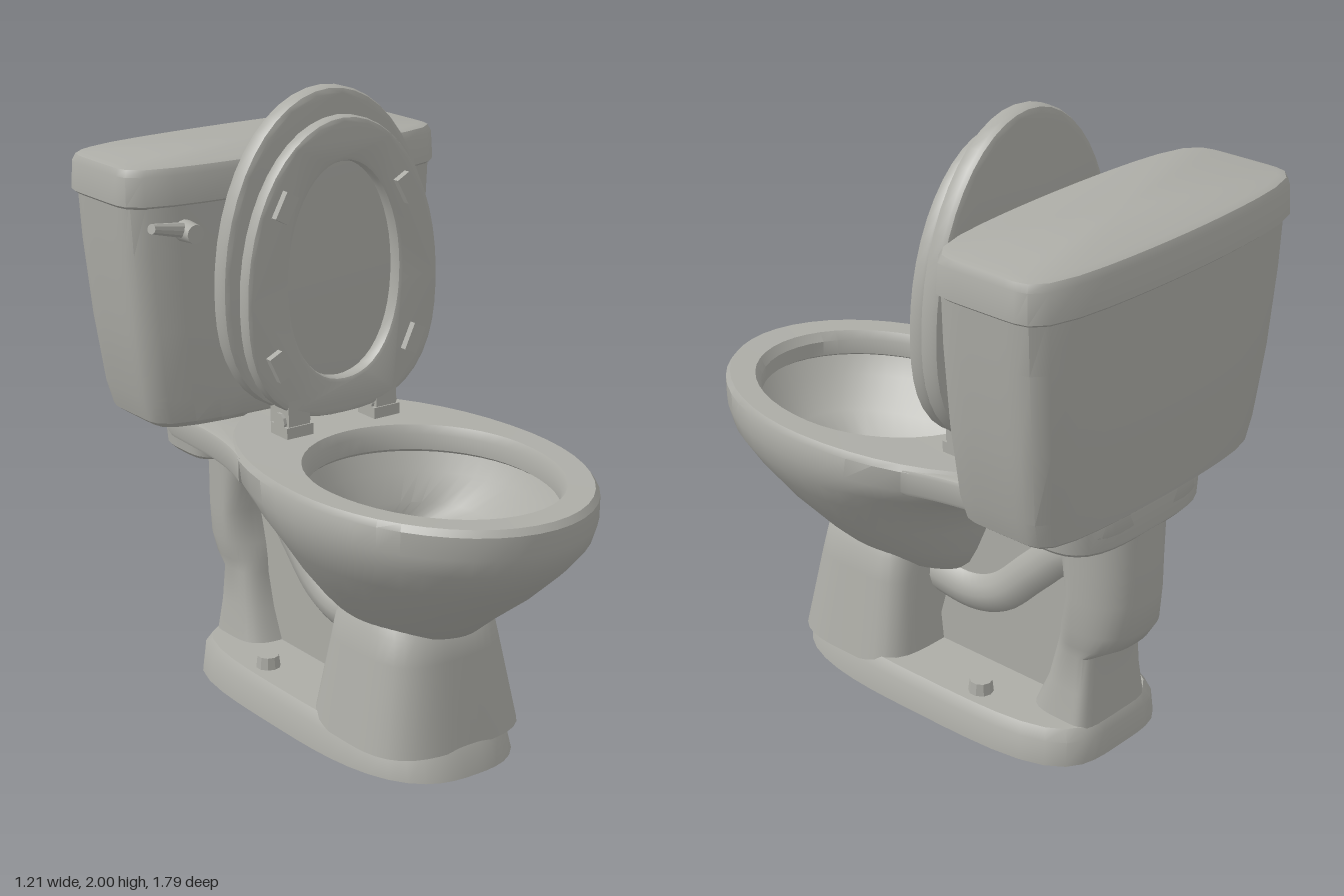
import * as THREE from 'three';
import { toCreasedNormals } from 'three/addons/utils/BufferGeometryUtils.js';

const SEG = 48;
const porcelain = new THREE.MeshStandardMaterial({ color: 0xacaca6 });
porcelain.name = 'grey porcelain';

// Rounded outline: half width w, front f, back b, widest at c.
// n / nb square off the front / back half, bow curves the long sides.
function outline({ w, f, b, c, n = 2, nb = n, bow = 0, x = 0 }) {
  const pts = [];
  for (let j = 0; j < SEG; j++) {
    const t = (j / SEG) * Math.PI * 2;
    const s = Math.sin(t), k = Math.cos(t), e = k >= 0 ? n : nb;
    const r = 1 / Math.pow(Math.abs(s) ** e + Math.abs(k) ** e, 1 / e);
    const u = r * s, v = r * k * (1 - bow * u * u);
    pts.push(new THREE.Vector2(x + w * u, c + v * (v >= 0 ? f - c : c - b)));
  }
  return pts;
}

// Skin a stack of horizontal outlines and close both ends.
function loft(rings) {
  const pos = [], idx = [];
  rings.forEach((r) => outline(r).forEach((p) => pos.push(p.x, r.y, p.y)));
  for (let i = 0; i < rings.length - 1; i++) {
    for (let j = 0; j < SEG; j++) {
      const k = (j + 1) % SEG, a = i * SEG + j, b = i * SEG + k;
      idx.push(a, b, b + SEG, a, b + SEG, a + SEG);
    }
  }
  const last = rings.length - 1, n = rings.length * SEG;
  for (const r of [rings[0], rings[last]]) pos.push(r.x || 0, r.y, r.c);
  for (let j = 0; j < SEG; j++) {
    const k = (j + 1) % SEG;
    idx.push(n, k, j, n + 1, last * SEG + j, last * SEG + k);
  }
  const g = new THREE.BufferGeometry();
  g.setAttribute('position', new THREE.Float32BufferAttribute(pos, 3));
  g.setIndex(idx);
  return g;
}

function extrude(shape, depth, bevel) {
  return new THREE.ExtrudeGeometry(shape, {
    depth: depth - 2 * bevel, bevelEnabled: bevel > 0, bevelThickness: bevel,
    bevelSize: bevel, bevelOffset: -bevel, bevelSegments: 2, curveSegments: 12,
  }).translate(0, 0, bevel);
}

export function createModel() {
  const model = new THREE.Group();
  const add = (name, geometry, parent = model) => {
    const m = new THREE.Mesh(toCreasedNormals(geometry, 0.6), porcelain);
    m.name = name;
    parent.add(m);
    return m;
  };
  const X = -0.03; // bowl and foot sit slightly off the tank's centre

  // Foot plate and front pedestal
  add('footPlate', loft([
    { y: 0, w: 0.305, f: 0.55, b: -0.69 },
    { y: 0.08, w: 0.293, f: 0.525, b: -0.685 },
    { y: 0.115, w: 0.27, f: 0.5, b: -0.665 },
  ].map((r) => ({ ...r, x: X, c: -0.05, n: 2.8, nb: 4 }))));
  add('pedestal', loft([
    { y: 0.08, w: 0.285, f: 0.52, b: 0.015 },
    { y: 0.36, w: 0.23, f: 0.472, b: 0.05 },
    { y: 0.44, w: 0.215, f: 0.455, b: 0.06 },
    { y: 0.5, w: 0.18, f: 0.4, b: 0.08 },
  ].map((r) => ({ ...r, x: X, c: 0.24, n: 3.2, nb: 5 }))));

  // Bowl: up the outside, over the rim, down the inside to the sump
  add('bowl', loft([
    { y: 0.4, w: 0.14, f: 0.4, b: -0.06, c: 0.18 },
    { y: 0.44, w: 0.19, f: 0.49, b: -0.1, c: 0.2 },
    { y: 0.5, w: 0.25, f: 0.56, b: -0.13, c: 0.22 },
    { y: 0.6, w: 0.335, f: 0.69, b: -0.17, c: 0.24 },
    { y: 0.7, w: 0.405, f: 0.8, b: -0.21, c: 0.25 },
    { y: 0.78, w: 0.452, f: 0.87, b: -0.32, c: 0.25 },
    { y: 0.84, w: 0.463, f: 0.893, b: -0.46, c: 0.25 },
    { y: 0.91, w: 0.463, f: 0.895, b: -0.5, c: 0.25 },
    { y: 0.93, w: 0.45, f: 0.88, b: -0.49, c: 0.25 },
    { y: 0.928, w: 0.365, f: 0.785, b: -0.115, c: 0.3 },
    { y: 0.9, w: 0.35, f: 0.765, b: -0.1, c: 0.3 },
    { y: 0.85, w: 0.35, f: 0.765, b: -0.1, c: 0.3 },
    { y: 0.84, w: 0.365, f: 0.78, b: -0.11, c: 0.3 },
    { y: 0.78, w: 0.335, f: 0.74, b: -0.08, c: 0.28 },
    { y: 0.69, w: 0.265, f: 0.66, b: -0.04, c: 0.2 },
    { y: 0.63, w: 0.19, f: 0.55, b: -0.02, c: 0.1, nb: 3 },
    { y: 0.5, w: 0.15, f: 0.47, b: 0.0, c: 0.1, nb: 3 },
  ].map((r) => ({ ...r, x: X }))));

  // Shelf behind the bowl and the thicker pad below the tank
  const shelf = new THREE.Shape();
  shelf.moveTo(-0.4, -0.13).lineTo(0.4, -0.13);
  shelf.quadraticCurveTo(0.345, -0.27, 0.335, -0.42).lineTo(0.325, -0.62);
  shelf.quadraticCurveTo(0.31, -0.775, 0.12, -0.778).lineTo(-0.12, -0.778);
  shelf.quadraticCurveTo(-0.31, -0.775, -0.325, -0.62).lineTo(-0.335, -0.42);
  shelf.quadraticCurveTo(-0.345, -0.27, -0.4, -0.13);
  add('shelf', extrude(shelf, 0.09, 0.015).rotateX(Math.PI / 2).translate(X, 0.92, 0));
  add('tankPad', loft([
    { y: 0.785, w: 0.3, f: -0.46, b: -0.765 },
    { y: 0.8, w: 0.315, f: -0.43, b: -0.778 },
    { y: 0.9, w: 0.325, f: -0.4, b: -0.78 },
    { y: 0.92, w: 0.31, f: -0.41, b: -0.77 },
  ].map((r) => ({ ...r, x: X, c: -0.58, n: 4, nb: 3.5 }))));

  // Drain: rising trap, rear outlet and the web that joins them
  const path = new THREE.CatmullRomCurve3([
    [0.36, 0.1], [0.34, -0.1], [0.38, -0.22], [0.51, -0.36], [0.62, -0.48], [0.67, -0.6], [0.6, -0.66],
  ].map(([y, z]) => new THREE.Vector3(X, y, z)));
  add('trapPipe', new THREE.TubeGeometry(path, 28, 0.08, 14));
  add('outletPipe', loft([
    { y: 0.1, w: 0.165, f: -0.42, b: -0.67, n: 4 },
    { y: 0.22, w: 0.145, f: -0.47, b: -0.66, n: 4 },
    { y: 0.34, w: 0.135, f: -0.5, b: -0.655, n: 4 },
    { y: 0.38, w: 0.145, f: -0.5, b: -0.73, n: 2.6 },
    { y: 0.44, w: 0.155, f: -0.51, b: -0.768, n: 2.4 },
    { y: 0.55, w: 0.16, f: -0.54, b: -0.775, n: 2.4 },
    { y: 0.66, w: 0.16, f: -0.51, b: -0.775, n: 2.4 },
    { y: 0.8, w: 0.165, f: -0.45, b: -0.775, n: 2.4 },
  ].map((r) => ({ ...r, x: X, c: -0.6 }))));
  const web = new THREE.Shape([
    [0.06, 0.1], [-0.55, 0.1], [-0.58, 0.79], [-0.46, 0.78], [-0.2, 0.71], [-0.05, 0.5],
  ].map(([z, y]) => new THREE.Vector2(z, y)));
  add('drainWeb', extrude(web, 0.09, 0).translate(0, 0, -0.045).rotateY(-Math.PI / 2).translate(X, 0, 0));

  // Floor bolt caps
  for (const s of [-1, 1]) {
    add('boltCap', new THREE.CylinderGeometry(0.036, 0.043, 0.06, 10).translate(X + s * 0.2, 0.125, -0.28));
  }

  // Tank and lid
  const tankShape = { c: -0.64, n: 7, bow: 0.15 };
  add('tank', loft([
    { y: 0.92, w: 0.47, f: -0.45, b: -0.815 },
    { y: 0.94, w: 0.497, f: -0.43, b: -0.838 },
    { y: 1.02, w: 0.52, f: -0.415, b: -0.848 },
    { y: 1.25, w: 0.552, f: -0.4, b: -0.868 },
    { y: 1.5, w: 0.577, f: -0.395, b: -0.878 },
    { y: 1.68, w: 0.588, f: -0.395, b: -0.88 },
  ].map((r) => ({ ...tankShape, ...r }))));
  add('tankLid', loft([
    { y: 1.65, w: 0.59, f: -0.4, b: -0.885 },
    { y: 1.66, w: 0.603, f: -0.388, b: -0.897 },
    { y: 1.75, w: 0.6, f: -0.395, b: -0.89 },
    { y: 1.772, w: 0.59, f: -0.405, b: -0.88 },
    { y: 1.78, w: 0.565, f: -0.425, b: -0.86 },
  ].map((r) => ({ ...tankShape, ...r }))));

  // Flush lever
  const lever = new THREE.Group();
  lever.name = 'flushLever';
  lever.position.set(-0.42, 1.575, -0.39);
  model.add(lever);
  add('leverHub', new THREE.CylinderGeometry(0.03, 0.036, 0.07, 12).rotateX(Math.PI / 2), lever);
  const arm = add('leverArm', new THREE.CylinderGeometry(0.016, 0.026, 0.17, 10), lever);
  arm.position.set(-0.075, 0.02, 0.005);
  arm.rotation.set(0, 0.3, 1.35);

  // Raised cover and seat ring, standing upright
  const cover = new THREE.Shape(outline({ w: 0.4, f: 2.0, b: 0.97, c: 1.4, nb: 2.5 }));
  add('cover', extrude(cover, 0.07, 0.02).translate(0, 0, -0.305));
  const seat = new THREE.Shape(outline({ w: 0.365, f: 1.92, b: 0.97, c: 1.38, nb: 2.6 }));
  seat.holes.push(new THREE.Path(outline({ w: 0.21, f: 1.78, b: 1.09, c: 1.42, nb: 2.2 }).reverse()));
  add('seat', extrude(seat, 0.055, 0.015).translate(0, 0, -0.215));

  // Seat bumpers and hinges
  for (const s of [-1, 1]) {
    for (const [x, y, tilt] of [[0.23, 1.67, 0.5], [0.26, 1.175, -0.45]]) {
      const bumper = add('seatBumper', new THREE.BoxGeometry(0.05, 0.09, 0.03));
      bumper.position.set(s * x, y, -0.152);
      bumper.rotation.z = s * tilt;
    }
    const hinge = new THREE.Group();
    hinge.name = 'hinge';
    hinge.position.set(s * 0.17 - 0.01, 0, 0);
    model.add(hinge);
    add('hingeFoot', new THREE.BoxGeometry(0.1, 0.05, 0.09).translate(0, 0.94, -0.2), hinge);
    add('hingePin', new THREE.CylinderGeometry(0.03, 0.03, 0.1, 10).rotateZ(Math.PI / 2).translate(0, 0.975, -0.2), hinge);
    add('hingeTab', new THREE.BoxGeometry(0.08, 0.09, 0.1).translate(0, 1.005, -0.21), hinge);
  }
  return model;
}
